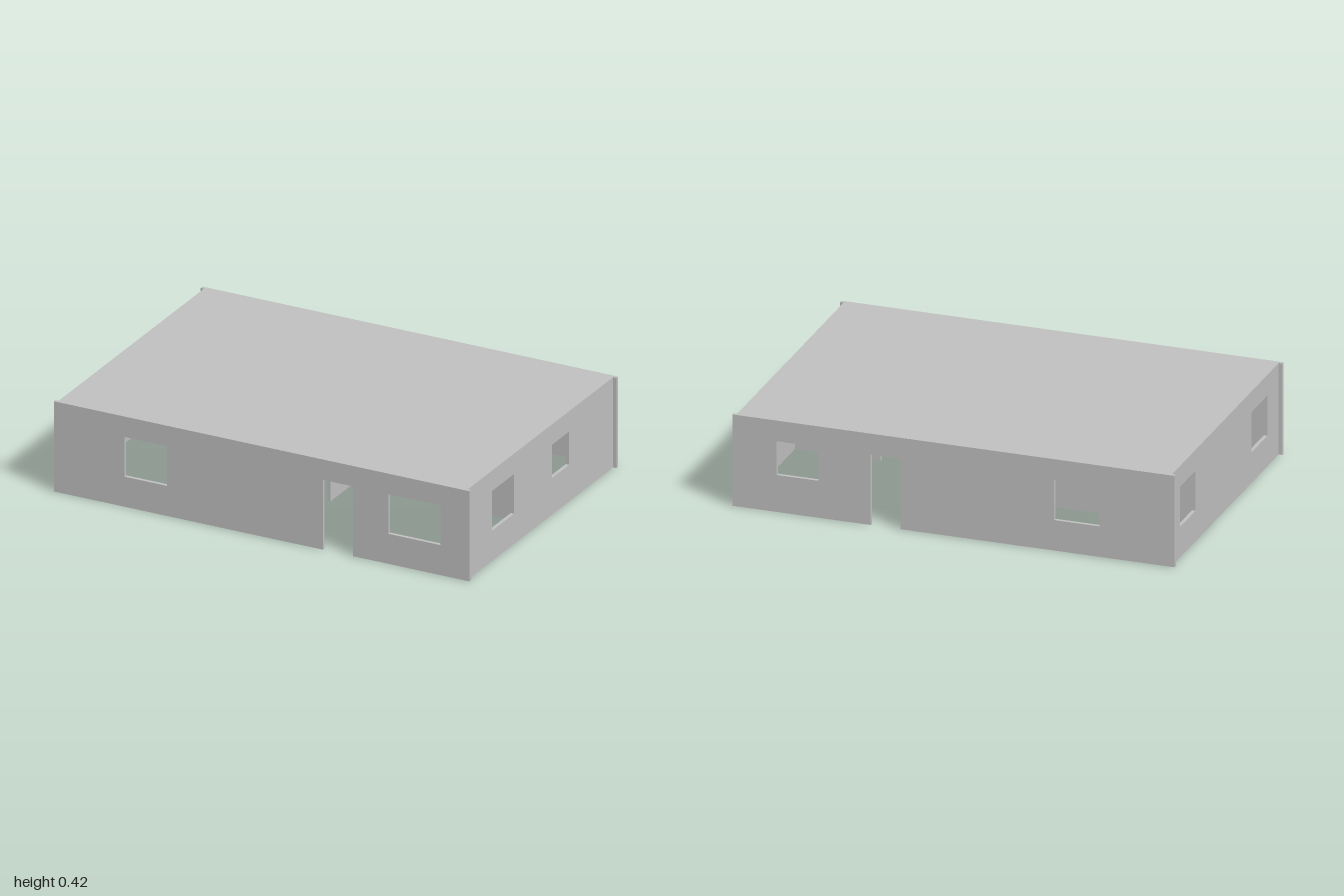
import * as THREE from 'three';

const WALL = 0.016;      // wall thickness
const TOP = 0.412;       // wall height, the roof slab rests on it
const HEAD = 0.325;      // top of every door and window

export function createModel() {
  const house = new THREE.Group();
  house.name = 'house';
  const plaster = new THREE.MeshStandardMaterial({ color: 0xbfbfbf });
  plaster.name = 'grey plaster';

  // Wall running from a to b along 'x' or 'z', centred at `at` on the other axis.
  // doors: [start, end] in rising order; windows: [start, end, sill]
  function wall(name, axis, at, a, b, doors = [], windows = []) {
    const shape = new THREE.Shape();
    shape.moveTo(a, 0);
    for (const [s, e] of doors) {
      shape.lineTo(s, 0);
      shape.lineTo(s, HEAD);
      shape.lineTo(e, HEAD);
      shape.lineTo(e, 0);
    }
    shape.lineTo(b, 0);
    shape.lineTo(b, TOP);
    shape.lineTo(a, TOP);
    shape.closePath();
    for (const [s, e, sill] of windows) {
      const hole = new THREE.Path();
      hole.moveTo(s, sill);
      hole.lineTo(s, HEAD);
      hole.lineTo(e, HEAD);
      hole.lineTo(e, sill);
      hole.closePath();
      shape.holes.push(hole);
    }
    const geo = new THREE.ExtrudeGeometry(shape, { depth: WALL, bevelEnabled: false });
    geo.translate(0, 0, -WALL / 2);
    if (axis === 'z') geo.rotateY(-Math.PI / 2);
    geo.translate(axis === 'z' ? at : 0, 0, axis === 'x' ? at : 0);
    const mesh = new THREE.Mesh(geo, plaster);
    mesh.name = name;
    house.add(mesh);
  }

  // Outer walls: front and back overhang the side walls at the corners
  wall('frontWall', 'x', 0.667, -1, 1, [[0.295, 0.44]],
    [[-0.66, -0.455, 0.14], [0.61, 0.86, 0.14]]);
  wall('backWall', 'x', -0.667, -1, 1, [[0.24, 0.375]],
    [[-0.66, -0.455, 0.14], [0.61, 0.80, 0.17]]);
  wall('leftWall', 'z', 0.976, -0.659, 0.659, [],
    [[-0.26, -0.105, 0.17], [0.24, 0.44, 0.14]]);
  wall('rightWall', 'z', -0.976, -0.659, 0.659, [],
    [[-0.565, -0.37, 0.14], [0.325, 0.52, 0.14]]);

  // Two long partitions enclosing the corridor
  wall('corridorWallLeft', 'z', 0.08, -0.659, 0.659, [[-0.29, -0.145], [0.215, 0.36]]);
  wall('corridorWallRight', 'z', -0.118, -0.659, 0.659,
    [[-0.56, -0.415], [-0.13, 0.015], [0.305, 0.445]]);

  // Cross partitions between the rooms
  wall('livingRoomScreen', 'x', 0.018, 0.58, 0.968);
  wall('backBedroomWall', 'x', -0.212, -0.968, -0.126);
  wall('frontBedroomWall', 'x', 0.178, -0.968, -0.126, [[-0.94, -0.583]]);
  wall('closetWall', 'z', -0.575, -0.204, 0.17);

  // Flat roof with small corner tabs over the overhanging wall ends
  function slab(name, w, d, x, z) {
    const mesh = new THREE.Mesh(new THREE.BoxGeometry(w, 0.008, d), plaster);
    mesh.position.set(x, TOP + 0.004, z);
    mesh.name = name;
    house.add(mesh);
  }
  slab('roof', 1.968, 1.35, 0, 0);
  for (const sx of [-1, 1]) for (const sz of [-1, 1])
    slab('roofCorner', 0.016, WALL, sx * 0.992, sz * 0.667);

  return house;
}
